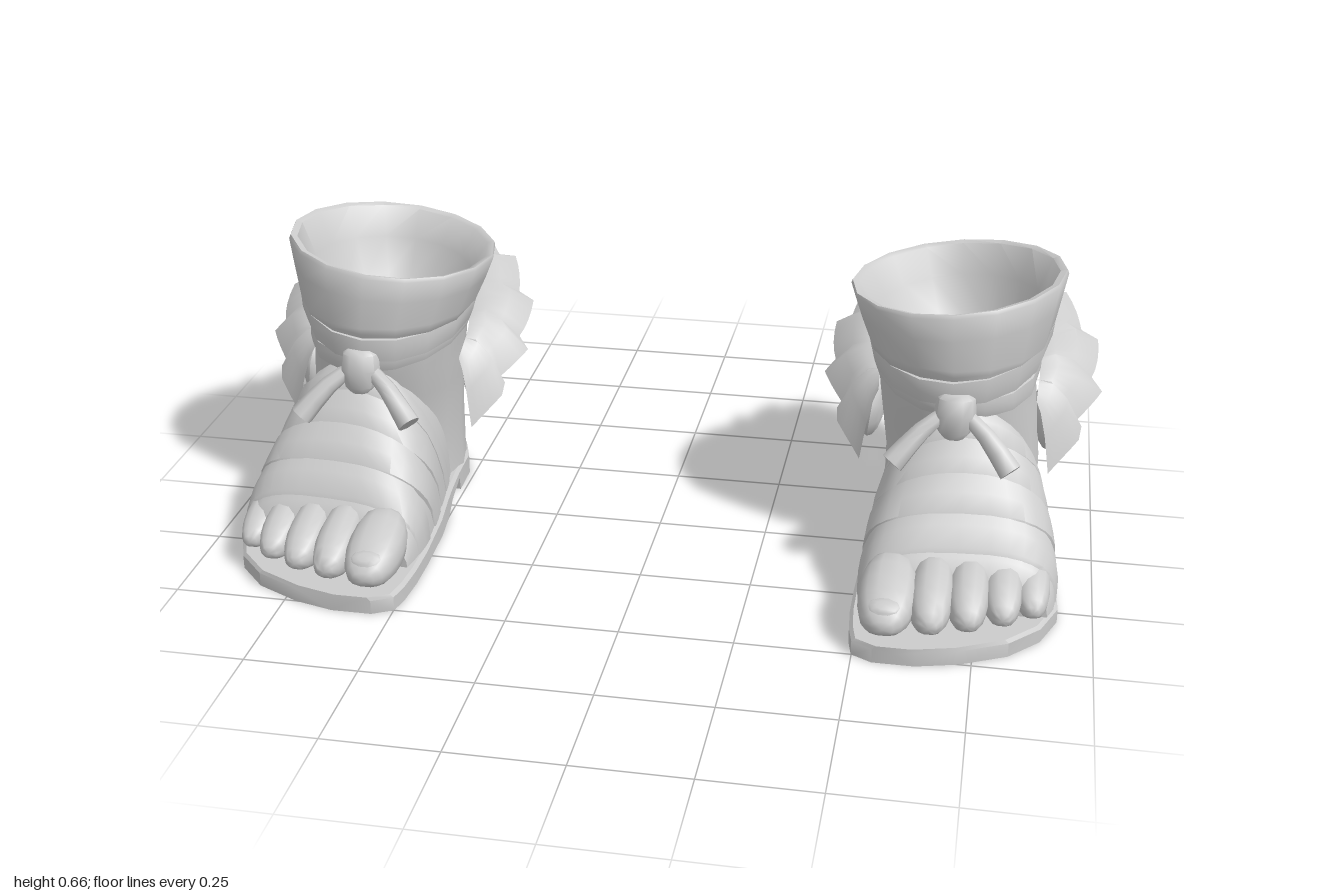
import * as THREE from 'three';
import { mergeVertices, toCreasedNormals } from 'three/addons/utils/BufferGeometryUtils.js';

const V = (x, y, z) => new THREE.Vector3(x, y, z);
const grey = new THREE.MeshStandardMaterial({ color: 0xcccccc });
const thin = new THREE.MeshStandardMaterial({ color: 0xcccccc, side: THREE.DoubleSide });
const signedPow = (v, p) => Math.sign(v) * Math.abs(v) ** p;

// Linear lookup in a table whose first column rises
function lookup(table, k) {
  let i = 0;
  while (i < table.length - 2 && k > table[i + 1][0]) i++;
  const a = table[i], b = table[i + 1];
  const t = THREE.MathUtils.clamp((k - a[0]) / (b[0] - a[0]), 0, 1);
  return a.map((v, j) => v + (b[j] - v) * t);
}

// Skin rings of points; closed rings are turned to face outward
function loft(rings, { closed = true, caps = true } = {}) {
  const n = rings[0].length, pts = rings.flat().map(p => p.clone()), idx = [];
  for (let i = 0; i < rings.length - 1; i++)
    for (let j = 0; j < (closed ? n : n - 1); j++) {
      const a = i * n + j, b = i * n + (j + 1) % n;
      idx.push(a, b, b + n, a, b + n, a + n);
    }
  const cap = (r, flip) => {
    const c = pts.length;
    pts.push(rings[r].reduce((s, p) => s.add(p), V(0, 0, 0)).divideScalar(n));
    for (let j = 0; j < n; j++) {
      const a = r * n + j, b = r * n + (j + 1) % n;
      idx.push(c, flip ? b : a, flip ? a : b);
    }
  };
  if (closed && caps) {
    cap(0, true);
    cap(rings.length - 1, false);
  }
  const mid = pts.reduce((s, p) => s.add(p), V(0, 0, 0)).divideScalar(pts.length);
  let vol = 0;
  for (let i = 0; i < idx.length; i += 3) {
    const [a, b, c] = [0, 1, 2].map(k => pts[idx[i + k]].clone().sub(mid));
    vol += a.dot(b.cross(c));
  }
  if (vol < 0) idx.reverse();
  const g = new THREE.BufferGeometry().setFromPoints(pts);
  g.setIndex(idx);
  return g;
}

// Ankle shaft: y, x min, x max, z back, z front
const SHAFT = [
  [0.045, -0.15, 0.205, -0.313, 0.05], [0.08, -0.149, 0.203, -0.307, 0.05], [0.2, -0.15, 0.2, -0.31, 0.06],
  [0.35, -0.168, 0.185, -0.308, 0.1], [0.42, -0.175, 0.178, -0.306, 0.113],
  [0.49, -0.188, 0.193, -0.32, 0.115], [0.635, -0.25, 0.235, -0.355, 0.113]];
function shaftPoint(y, a, off) {
  const [, x0, x1, z0, z1] = lookup(SHAFT, y);
  const tilt = 0.028 * THREE.MathUtils.smoothstep(y, 0.42, 0.635);
  const p = 0.92 + 0.08 * THREE.MathUtils.smoothstep(y, 0.1, 0.4);
  const c = Math.cos(a), s = Math.sin(a);
  return V((x0 + x1) / 2 + ((x1 - x0) / 2 + off) * signedPow(c, p),
    y + tilt * (c - 0.25 * Math.max(s, 0) ** 2), (z0 + z1) / 2 + ((z1 - z0) / 2 + off) * signedPow(s, p));
}
const shaftRing = (y, off, slope = 0, wave = 0) => Array.from({ length: 16 }, (_, j) => {
  const a = j / 8 * Math.PI;
  return shaftPoint(y - slope * Math.sin(a) + wave * Math.cos(a), a, off);
});

// Foot: z, x min, x max, top, roundness of the side
const FOOT = [
  [-0.12, -0.13, 0.185, 0.34, 0.9], [0, -0.15, 0.212, 0.38, 1], [0.1, -0.162, 0.23, 0.395, 1.05],
  [0.15, -0.167, 0.24, 0.33, 0.92], [0.22, -0.172, 0.252, 0.255, 0.8], [0.27, -0.172, 0.256, 0.208, 0.7],
  [0.33, -0.167, 0.25, 0.155, 0.65], [0.37, -0.16, 0.235, 0.1, 0.6]];
function footRing(z, off, slope = 0) {
  return Array.from({ length: 19 }, (_, j) => {
    const a = j / 18 * Math.PI, c = Math.cos(a), s = Math.sin(a);
    const zz = z - slope * (1 - s) ** 1.5, o = off * (0.2 + 0.8 * s);
    const [, x0, x1, top, p] = lookup(FOOT, zz);
    const x = (x0 + x1) / 2 + ((x1 - x0) / 2 + o) * signedPow(c, p);
    return V(x, 0.04 + (top + o - 0.04) * s ** 0.85, zz - 0.1 * x);
  });
}

// Sole: z, x min, x max, underside height
const SOLE = [
  [0.524, -0.12, -0.03, 0], [0.5, -0.165, 0.06, 0], [0.45, -0.175, 0.16, 0], [0.38, -0.18, 0.225, 0],
  [0.29, -0.18, 0.26, 0], [0.15, -0.175, 0.25, 0], [0.06, -0.165, 0.235, 0], [0.01, -0.16, 0.222, 0.02],
  [-0.08, -0.153, 0.208, 0.033], [-0.086, -0.153, 0.208, 0], [-0.18, -0.15, 0.203, 0],
  [-0.25, -0.125, 0.178, 0], [-0.295, -0.075, 0.128, 0], [-0.313, -0.02, 0.072, 0]];

function featherCollar() {
  // Half paths from the side tip to the middle of the back, mirrored
  const path = half => new THREE.CatmullRomCurve3([
    ...half, ...half.slice(0, -1).reverse().map(p => V(-0.92 * p.x, p.y, p.z))]);
  const inner = path([V(0.185, 0.36, -0.06), V(0.185, 0.415, -0.16), V(0.135, 0.465, -0.265), V(0, 0.49, -0.31)]);
  const outer = path([V(0.225, 0.185, -0.02), V(0.305, 0.285, -0.12), V(0.337, 0.37, -0.23),
    V(0.285, 0.455, -0.37), V(0.17, 0.515, -0.475), V(0, 0.53, -0.525)]);
  const rows = [], feathers = 11, middle = (feathers - 1) / 2;
  for (let k = 0; k < feathers; k++)
    for (const f of [0.01, 0.2, 0.4, 0.6, 0.8, 0.99]) {
      // Each feather lengthens toward the back, then drops to a notch
      const t = (k + f) / feathers, lag = k < middle ? f : 1 - f;
      const saw = k === middle ? Math.abs(f - 0.5) * 0.6 : lag < 0.8 ? 0.8 - lag : (lag - 0.8) * 4;
      const reach = 1 - saw * (k === 0 || k === feathers - 1 ? 0.1 : 0.24);
      const a = inner.getPoint(t), b = outer.getPoint(t);
      rows.push([0, 0.3, 0.65, 1].map(r => {
        const p = a.clone().lerp(b, r * reach);
        p.y += 0.03 * Math.sin(Math.PI * r);
        return p;
      }));
    }
  return loft(rows, { closed: false });
}

function sandalParts() {
  const parts = [];
  const add = (name, geo, crease = 0.75, mat = grey) => parts.push({ name, geo, crease, mat });

  add('sole', loft(SOLE.map(([z, x0, x1, y]) => {
    const top = 0.04 + 0.015 * THREE.MathUtils.smoothstep(-z, -0.3, 0);
    return [V(x0, y, z), V(x1, y, z), V(x1, top - 0.008, z), V(x1 - 0.008, top, z),
      V(x0 + 0.008, top, z), V(x0, top - 0.008, z)];
  })), 0.5);

  // Shaft with a folded cuff and a bowl-shaped opening
  add('ankleShaft', loft([
    ...[0.03, 0.06, 0.08, 0.2, 0.3, 0.36, 0.42, 0.47].map(y => shaftRing(y, 0)),
    shaftRing(0.485, 0.009, 0, 0.01), shaftRing(0.5, 0.01), shaftRing(0.57, 0.006), shaftRing(0.622, 0.002),
    shaftRing(0.63, -0.004), shaftRing(0.626, -0.018), shaftRing(0.56, -0.03), shaftRing(0.48, -0.045),
    shaftRing(0.43, -0.075), shaftRing(0.41, -0.115), shaftRing(0.4, -0.16)]), 0.9);

  // Cloth wraps round the ankle, high at the back
  for (const [y, h, slope, wave, off] of [
    [0.488, 0.065, 0.045, 0.01, 0.009], [0.44, 0.05, 0.035, -0.012, 0.005]])
    add('ankleWrap', loft([[-0.5, -0.012], [-0.42, off], [0, off + 0.004], [0.42, off], [0.5, -0.012]]
      .map(([f, o]) => shaftRing(y + f * h, o, slope, wave)), { caps: false }));

  // Foot and the wraps across it
  add('foot', loft([-0.1, 0, 0.06, 0.1, 0.15, 0.2, 0.25, 0.29, 0.33, 0.365].map(z => footRing(z, 0))));
  for (const [z0, z1, slope, off] of [
    [0.235, 0.325, 0.02, 0.008], [0.19, 0.265, 0.09, 0.012], [0.135, 0.205, 0.12, 0.008], [0.085, 0.145, 0.13, 0.008]])
    add('footWrap', loft([[0, -0.01], [0.08, off], [0.5, off + 0.002], [0.92, off], [1, -0.01]]
      .map(([f, o]) => footRing(z0 + (z1 - z0) * f, o, slope)), { caps: false }));

  // Toes resting on the sole: x, tip z, half width, height at the tip
  for (const [x, tip, w, h] of [
    [-0.102, 0.516, 0.062, 0.078], [-0.008, 0.494, 0.046, 0.076], [0.07, 0.468, 0.044, 0.074],
    [0.143, 0.43, 0.042, 0.07], [0.205, 0.385, 0.039, 0.066]]) {
    const len = 0.11, g = new THREE.SphereGeometry(1, 14, 10).rotateX(Math.PI / 2);
    const p = g.attributes.position;
    for (let i = 0; i < p.count; i++) {
      const z = p.getZ(i), back = (1 - z) / 2;
      p.setXYZ(i, x + w * signedPow(p.getX(i), 0.8) - 0.04 * back * x,
        0.036 + (h + 0.07 * back) * (1 + signedPow(p.getY(i), 0.8)) / 2, tip - len + len * signedPow(z, 0.85));
    }
    add('toe', g, 1);
  }
  // Nail on the big toe
  add('toenail', new THREE.SphereGeometry(1, 10, 6).scale(0.034, 0.007, 0.022)
    .rotateX(0.5).translate(-0.102, 0.113, 0.484), 1);

  // Knot with two hanging tails
  const knot = [[0.445, 0.03], [0.435, 0.042], [0.4, 0.046], [0.36, 0.036], [0.345, 0.022]];
  add('knot', loft(knot.map(([y, r]) => Array.from({ length: 10 }, (_, j) => {
    const a = j / 5 * Math.PI;
    return V(0.01 + r * signedPow(Math.cos(a), 0.8), y, 0.112 + (0.43 - y) * 0.2 + r * 0.75 * Math.sin(a));
  }))), 0.8);
  for (const s of [-1, 1]) {
    const c = new THREE.CatmullRomCurve3([V(0.01 + s * 0.01, 0.405, 0.11), V(0.01 + s * 0.07, 0.362, 0.145), V(0.01 + s * 0.128, 0.297, 0.182)]);
    add('knotTail', loft([0, 0.25, 0.5, 0.75, 1].map(t => {
      const p = c.getPoint(t), r = 0.015 + 0.012 * t, d = c.getTangent(t);
      const u = V(0, 0, 1).cross(d).normalize(), v = d.clone().cross(u);
      return Array.from({ length: 8 }, (_, j) => p.clone()
        .addScaledVector(u, r * Math.cos(j * Math.PI / 4)).addScaledVector(v, r * Math.sin(j * Math.PI / 4)));
    })), 0.9);
  }

  add('featherCollar', featherCollar(), 0.6, thin);

  // Round side ornaments under the feathers
  for (const s of [-1, 1])
    add('sideDisc', new THREE.SphereGeometry(1, 10, 8).rotateZ(Math.PI / 2).scale(0.03, 0.083, 0.074)
      .rotateZ(s * 0.12).translate(s > 0 ? 0.212 : -0.188, 0.283, -0.157), 0.8);
  return parts;
}

// Finish a part for one foot, mirroring it when side is -1
function finish({ name, geo, crease, mat }, side) {
  let g = geo.clone();
  g.deleteAttribute('normal');
  g.deleteAttribute('uv');
  g = mergeVertices(g, 1e-5);
  if (side < 0) {
    g.scale(-1, 1, 1);
    g.index.array.reverse();
  }
  const mesh = new THREE.Mesh(toCreasedNormals(g, crease), mat);
  mesh.name = name;
  return mesh;
}

export function createModel() {
  const model = new THREE.Group();
  model.name = 'sandals';
  const parts = sandalParts();
  for (const side of [1, -1]) {
    const foot = new THREE.Group();
    foot.name = side > 0 ? 'leftSandal' : 'rightSandal';
    foot.add(...parts.map(p => finish(p, side)));
    foot.position.x = side * 0.664;
    model.add(foot);
  }
  return model;
}
